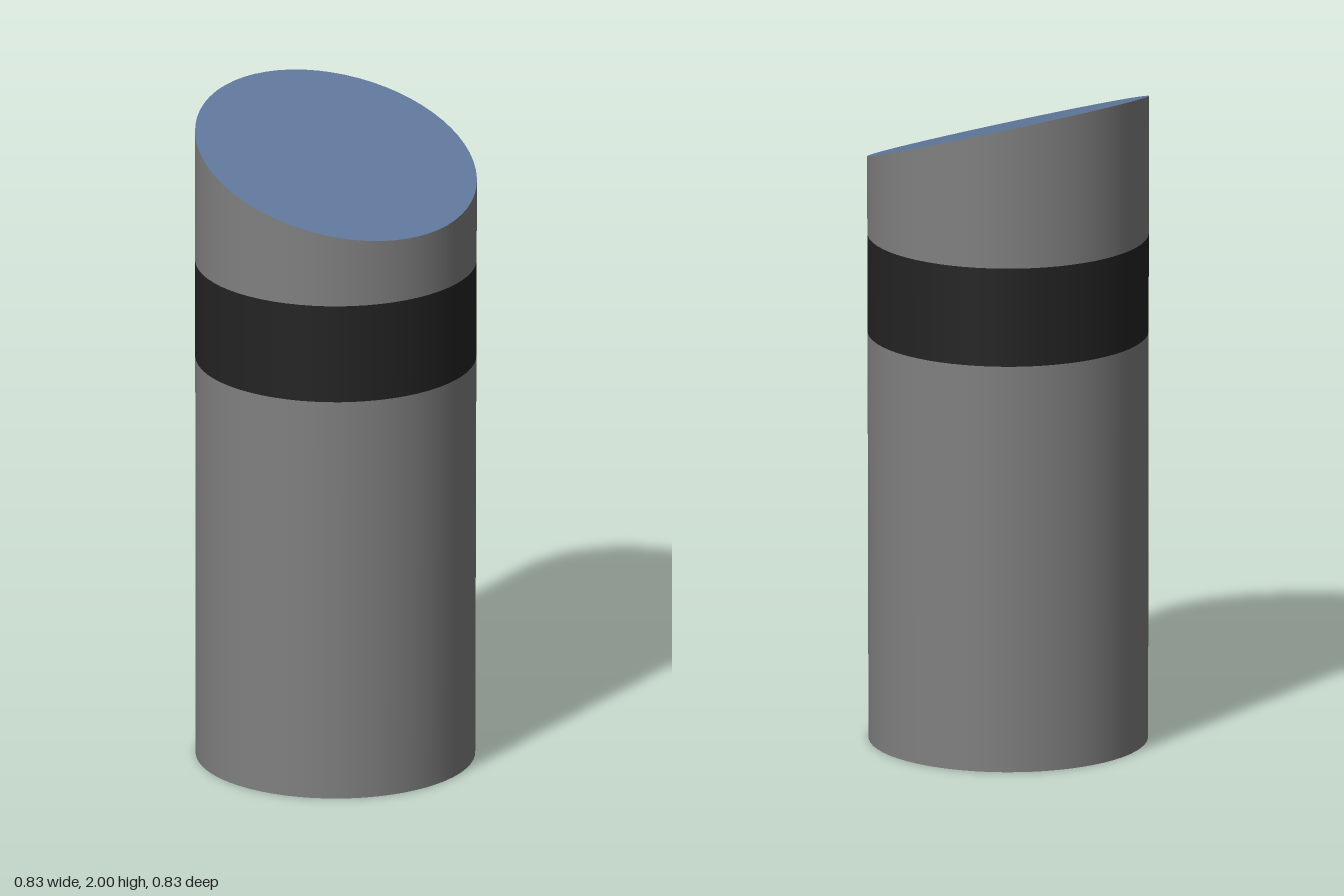
import * as THREE from 'three';

const SEGMENTS = 64;
const HEIGHT = 2;

// Radius and slight lean of the post at height y
const radiusAt = (y) => 0.413 + 0.0035 * (y / HEIGHT);
const leanAt = (y) => 0.005 * (1 - y / HEIGHT);

// Height of the slanted cut above a point
const cutHeight = (x, z) => 1.866 - 0.322 * z - 0.03 * x;

// Shift a geometry sideways so that it follows the lean
function lean(geometry) {
  const p = geometry.attributes.position;
  for (let i = 0; i < p.count; i++) {
    const d = leanAt(p.getY(i));
    p.setX(i, p.getX(i) - d);
    p.setZ(i, p.getZ(i) + d);
  }
  return geometry;
}

// Open tube section between two heights
function section(y0, y1) {
  const g = new THREE.CylinderGeometry(radiusAt(y1), radiusAt(y0), y1 - y0, SEGMENTS, 1, true);
  return g.translate(0, (y0 + y1) / 2, 0);
}

// Raise every vertex above the limit onto the slanted cut
function slant(geometry, limit) {
  const p = geometry.attributes.position;
  for (let i = 0; i < p.count; i++) {
    if (p.getY(i) > limit) p.setY(i, cutHeight(p.getX(i), p.getZ(i)));
  }
  return geometry;
}

export function createModel() {
  const grey = new THREE.MeshStandardMaterial({ color: 0x808080 });
  grey.name = 'grey body';
  const black = new THREE.MeshStandardMaterial({ color: 0x232323 });
  black.name = 'black band';
  const blue = new THREE.MeshStandardMaterial({ color: 0x617a9f });
  blue.name = 'blue top';

  const group = new THREE.Group();
  group.name = 'slantedPost';
  const add = (name, geometry, material) => {
    const mesh = new THREE.Mesh(geometry, material);
    mesh.name = name;
    group.add(mesh);
  };

  // Post shaft, band and slanted collar
  add('lowerShaft', lean(section(0, 1.24)), grey);
  add('band', lean(section(1.24, 1.54)), black);
  add('collar', lean(slant(section(1.54, 1.87), 1.6)), grey);

  // Slanted top face
  const top = new THREE.CircleGeometry(radiusAt(1.87), SEGMENTS).rotateX(-Math.PI / 2);
  slant(top, -1);
  lean(top);
  top.computeVertexNormals();
  add('slantedTop', top, blue);

  // Underside
  const base = new THREE.CircleGeometry(radiusAt(0), SEGMENTS).rotateX(Math.PI / 2);
  add('underside', lean(base), black);

  return group;
}
